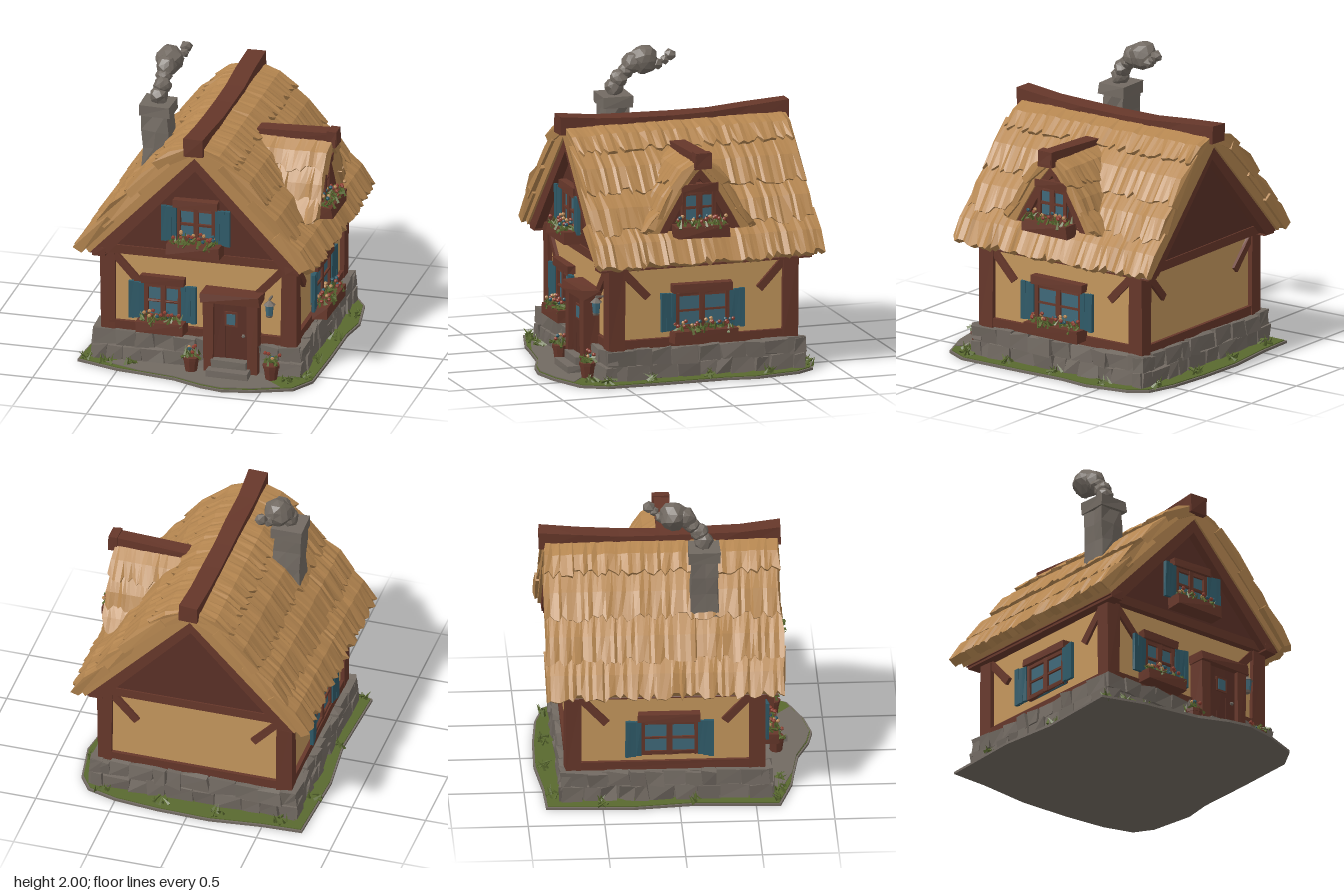
import * as THREE from 'three';

const mat = (name, color) => Object.assign(
  new THREE.MeshStandardMaterial({ color, flatShading: true, side: THREE.DoubleSide }), { name });
const M = {
  thatch: mat('thatch', 0xb58650), plaster: mat('plaster', 0xc3965c), wood: mat('timber', 0x66372a),
  plank: mat('dark planks', 0x5a3026), stone: mat('stone', 0x726a62), green: mat('foliage', 0x59692f),
  blue: mat('shutter blue', 0x2f5a68), glass: mat('glass', 0x3f6878), red: mat('red petals', 0x8f4032),
  cream: mat('orange petals', 0xb98a58),
};

let state = 7;
const rnd = () => (state = (state * 16807) % 2147483647) / 2147483647;
const range = (a, b) => a + (b - a) * rnd();

// Shift every corner a little; corners at the same place move together
function rough(geo, amt) {
  const p = geo.attributes.position, s = rnd() * 50;
  const h = (x, y, z, k) => { const v = Math.sin(x * 127.1 + y * 311.7 + z * 74.7 + s + k * 19.3) * 437.58; return (v - Math.floor(v) - 0.5) * 2 * amt; };
  for (let i = 0; i < p.count; i++) {
    const [x, y, z] = [p.getX(i), p.getY(i), p.getZ(i)].map(v => Math.round(v * 1e4) / 1e4 + 0);
    p.setXYZ(i, x + h(x, y, z, 1), y + h(x, y, z, 2), z + h(x, y, z, 3));
  }
  return geo;
}
function add(parent, name, geo, material, x = 0, y = 0, z = 0) {
  const m = new THREE.Mesh(geo, material);
  m.name = name;
  m.position.set(x, y, z);
  parent.add(m);
  return m;
}
const box = (parent, name, material, w, h, d, x, y, z, amt = 0.003) =>
  add(parent, name, rough(new THREE.BoxGeometry(w, h, d), amt), material, x, y, z);
function group(parent, name, x = 0, y = 0, z = 0, ry = 0) {
  const g = new THREE.Group();
  g.name = name;
  g.position.set(x, y, z);
  g.rotation.y = ry;
  parent.add(g);
  return g;
}
// Symmetric solid from a half outline, top to bottom; an inner half outline makes it an arch
function arch(outer, inner, z0, z1) {
  const flip = a => a.map(([x, y]) => [-x, y]);
  const pts = [...flip(outer).reverse(), ...outer, ...(inner ? [...inner].reverse().concat(flip(inner)) : [])];
  const geo = new THREE.ExtrudeGeometry(new THREE.Shape(pts.map(p => new THREE.Vector2(...p))), { depth: z1 - z0, bevelEnabled: false });
  return geo.translate(0, 0, z0);
}
// One course of straw from a to b, ragged along its lower edge
function thatchRow(parent, a, b, z0, z1, side, thick = 0.06, bulge = 0.025) {
  const n = Math.round((z1 - z0) * 36), dx = b[0] - a[0], dy = b[1] - a[1], len = Math.hypot(dx, dy);
  const ux = dx / len, uy = dy / len, nx = -uy, ny = ux;
  const pos = [], idx = [];
  for (let i = 0; i <= n; i++) {
    const end = i === 0 || i === n, z = z0 + (z1 - z0) * i / n + range(-0.009, 0.009);
    const jag = rnd() < 0.3 ? -0.02 : range(0, 0.035), lift = range(-0.006, 0.01);
    const at = (t, o) => pos.push(side * (a[0] + ux * t + nx * o), a[1] + uy * t + ny * o, z + (end ? range(-0.015, 0.015) : 0));
    at(0, 0); at(len * 0.55, bulge + lift); at(len + jag, lift); at(len + jag - 0.015, -thick); at(0, -thick);
    if (i < n) for (let k = 0; k < 5; k++) {
      const p = i * 5 + k, q = i * 5 + (k + 1) % 5;
      idx.push(...(side > 0 ? [p, p + 5, q, q, p + 5, q + 5] : [p, q, p + 5, q, q + 5, p + 5]));
    }
  }
  for (const o of [0, n * 5]) for (let k = 1; k < 4; k++) idx.push(o, o + k, o + k + 1);
  const geo = new THREE.BufferGeometry();
  geo.setAttribute('position', new THREE.Float32BufferAttribute(pos, 3));
  geo.setIndex(idx);
  geo.computeVertexNormals();
  add(parent, 'thatchCourse', geo, M.thatch);
}
// Leaves and blossoms spread over a width
const leafGeo = new THREE.ConeGeometry(0.012, 0.07, 3), budGeo = new THREE.IcosahedronGeometry(0.014, 0);
function plant(parent, w, d, leaves, buds, x, y, z) {
  const g = group(parent, 'plant', x, y, z);
  for (let i = 0; i < leaves; i++)
    add(g, 'leaf', leafGeo, M.green, range(-w, w) / 2, range(0.005, 0.025), range(-d, d) / 2).rotation.set(range(-1, 1), range(0, 3), range(-1, 1));
  for (let i = 0; i < buds; i++)
    add(g, 'blossom', budGeo, [M.red, M.cream, M.red, M.blue][i % 4], range(-w, w) / 2, range(0.03, 0.06), range(-d, d) / 2);
}
// Window facing +z, with optional shutters and flower box
function makeWindow(parent, name, x, y, z, ry, w, h, shutters, boxW) {
  const g = group(parent, name, x, y, z, ry);
  add(g, 'pane', new THREE.BoxGeometry(w, h, 0.02), M.glass, 0, 0, 0.005);
  for (const s of [-1, 0, 1]) {
    box(g, 'windowPost', M.wood, s ? 0.025 : 0.035, h, 0.035, s * (w / 2 - 0.012), 0, 0.015);
    box(g, 'windowBar', M.wood, w, s ? 0.025 : 0.014, 0.03, 0, s * (h / 2 - 0.012), 0.014);
    if (s && shutters) {
      const sh = group(g, 'shutter', s * (w / 2 + 0.052), 0, 0.035, s * -0.12);
      for (const k of [-1, 0, 1]) box(sh, 'slat', M.blue, 0.034, h + 0.01 + k * s * 0.008, 0.022, k * 0.034, 0, 0, 0.002);
    }
  }
  box(g, 'lintel', M.wood, w + (shutters ? 0.04 : 0.02), 0.055, 0.06, 0, h / 2 + 0.03, 0.02, 0.005);
  if (boxW) {
    box(g, 'flowerBox', M.wood, boxW, 0.08, 0.11, 0, -h / 2 - 0.04, 0.065, 0.006);
    plant(g, boxW - 0.04, 0.1, Math.round(boxW * 130), Math.round(boxW * 50), 0, -h / 2, 0.07);
  }
}

export function createModel() {
  const root = new THREE.Group();
  root.name = 'cottage';

  // Ground plate, grass and path
  const plate = (name, pts, k, h, y, m) => add(root, name, new THREE.ExtrudeGeometry(
    new THREE.Shape(pts.map(([x, z]) => new THREE.Vector2(x * k, -z * k))), { depth: h, bevelEnabled: false }).rotateX(-Math.PI / 2), m, 0, y, 0);
  const rim = [[-0.79, 0.66], [-0.5, 0.75], [-0.35, 0.77], [-0.1, 0.81], [0.1, 0.89], [0.25, 0.92], [0.45, 0.88], [0.7, 0.78], [0.79, 0.62], [0.8, 0.2],
    [0.8, -0.2], [0.83, -0.4], [0.78, -0.7], [0.7, -0.82], [0.5, -0.88], [0.2, -0.91], [-0.15, -0.92], [-0.5, -0.88], [-0.77, -0.87], [-0.8, -0.3], [-0.76, 0.1]];
  plate('ground', rim, 1, 0.016, 0, M.stone);
  plate('grass', rim, 0.985, 0.006, 0.016, M.green);
  plate('path', [[-0.45, 0.58], [-0.6, 0.68], [-0.35, 0.765], [-0.1, 0.805], [0.1, 0.88], [0.25, 0.91], [0.45, 0.87], [0.62, 0.8], [0.5, 0.7], [0.6, 0.58]], 0.99, 0.006, 0.021, M.stone);

  // Stone footing
  const footing = group(root, 'stoneFooting');
  add(footing, 'footingCore', new THREE.BoxGeometry(1.34, 0.2, 1.32), M.stone, 0, 0.115, -0.085);
  for (const [len, x, z, ry] of [[1.4, 0, 0.57, 0], [1.4, 0, -0.74, 0], [1.37, 0.665, -0.085, 1], [1.37, -0.665, -0.085, 1]]) {
    const side = group(footing, 'stoneRow', x, 0, z, ry * Math.PI / 2);
    for (let row = 0; row < 2; row++) for (let u = -len / 2; u < len / 2 - 0.03;) {
      let w = range(0.09, 0.2);
      if (u + w > len / 2 - 0.06) w = len / 2 - u;
      box(side, 'stone', M.stone, w * 0.98, 0.102, 0.075, u + w / 2, 0.07 + row * 0.1, range(-0.006, 0.006), 0.014);
      u += w;
    }
  }

  // Plaster walls and timber frame
  add(root, 'walls', new THREE.BoxGeometry(1.26, 0.58, 1.25), M.plaster, 0, 0.5, -0.085);
  const frame = group(root, 'timberFrame');
  for (const sx of [-1, 1]) {
    box(frame, 'sideSill', M.wood, 0.06, 0.06, 1.27, sx * 0.625, 0.25, -0.085);
    box(frame, 'eaveBeam', M.wood, 0.09, 0.06, 1.46, sx * 0.65, 0.785, -0.085);
    for (const sz of [-1, 1]) {
      const z = -0.085 + sz * 0.6;
      box(frame, 'cornerPost', M.wood, 0.1, 0.57, 0.11, sx * 0.61, 0.5, z, 0.006);
      box(frame, 'frontBrace', M.wood, 0.05, 0.28, 0.05, sx * 0.49, 0.66, -0.085 + sz * 0.622).rotation.z = sx * -0.75;
      box(frame, 'sideBrace', M.wood, 0.05, 0.28, 0.05, sx * 0.627, 0.66, z - sz * 0.12).rotation.x = sz * 0.75;
    }
  }
  for (const s of [-1, 1]) {
    box(frame, 'endSill', M.wood, 1.2, 0.06, 0.06, 0, 0.25, -0.085 + s * 0.62);
    box(frame, 'gableBeam', M.wood, 1.34, 0.06, 0.08, 0, 0.795, -0.085 + s * 0.64);
  }

  // Gables, barge boards and thatched roof
  add(root, 'gable', arch([[0, 1.48], [0.66, 0.79]], null, -0.755, 0.585), M.plank);
  add(root, 'bargeBoards', arch([[0, 1.53], [0.71, 0.77]], [[0, 1.42], [0.6, 0.77]], -0.825, 0.645), M.wood);
  const roof = group(root, 'thatchedRoof');
  add(roof, 'roofCore', arch([[0, 1.58], [0.2, 1.49], [0.4, 1.25], [0.6, 1.02], [0.76, 0.84]], [[0, 1.515], [0.71, 0.775]], -0.845, 0.66), M.thatch);
  const courses = [[[0.58, 1.06], [0.8, 0.82]], [[0.4, 1.27], [0.65, 1.01]], [[0.2, 1.5], [0.47, 1.24]], [[0.02, 1.6], [0.27, 1.47]]];
  for (const side of [-1, 1]) courses.forEach(([a, b], i) => thatchRow(roof, a, b, -0.87 + i * 0.008, 0.69 - i * 0.008, side));

  // Sagging ridge beam
  const ridge = rough(new THREE.BoxGeometry(0.125, 0.12, 1.58, 1, 1, 6), 0.005);
  for (let p = ridge.attributes.position, i = 0; i < p.count; i++) p.setY(i, p.getY(i) + 0.045 * (p.getZ(i) / 0.79) ** 2);
  add(root, 'ridgeBeam', ridge, M.wood, 0, 1.56, -0.09);

  // Dormer, built facing +z and turned to the left side
  const dormer = group(root, 'dormer', 0, 0, -0.04, Math.PI / 2);
  const face = [[0, 1.41], [0.13, 1.25], [0.22, 1.1], [0.28, 0.99]];
  add(dormer, 'dormerWall', arch(face, null, 0.3, 0.66), M.plank);
  add(dormer, 'dormerTrim', arch(face, [[0, 1.34], [0.09, 1.22], [0.17, 1.08], [0.22, 0.99]], 0.6, 0.695), M.wood);
  add(dormer, 'dormerCore', arch([[0, 1.46], [0.1, 1.4], [0.2, 1.26], [0.28, 1.11], [0.36, 1.0]], face, 0.25, 0.71), M.thatch);
  for (const side of [-1, 1]) {
    thatchRow(dormer, [0.17, 1.33], [0.29, 1.13], 0.34, 0.735, side, 0.04, 0.01);
    thatchRow(dormer, [0.27, 1.15], [0.375, 1.02], 0.5, 0.735, side, 0.04, 0.005);
    thatchRow(dormer, [0.01, 1.48], [0.2, 1.31], 0.25, 0.74, side, 0.05, 0.025);
  }
  box(dormer, 'dormerRidge', M.wood, 0.1, 0.085, 0.53, 0, 1.465, 0.515, 0.005).rotation.x = -0.05;
  box(dormer, 'dormerRidgeEnd', M.wood, 0.11, 0.11, 0.06, 0, 1.472, 0.75, 0.004);

  // Windows
  makeWindow(dormer, 'dormerWindow', 0, 1.145, 0.665, 0, 0.23, 0.21, false, 0.36);
  makeWindow(root, 'frontWindow', -0.235, 0.45, 0.55, 0, 0.25, 0.24, true, 0.32);
  makeWindow(root, 'gableWindow', 0, 1.03, 0.59, 0, 0.26, 0.23, true, 0.36);
  makeWindow(root, 'leftWindow', 0.64, 0.455, -0.07, Math.PI / 2, 0.37, 0.24, true, 0.44);
  makeWindow(root, 'rightWindow', -0.64, 0.455, -0.06, -Math.PI / 2, 0.37, 0.24, true, 0);

  // Door, frame and steps
  const door = group(root, 'door', 0.24, 0, 0.6);
  for (const k of [-1, 0, 1]) box(door, 'doorPlank', M.plank, 0.079, 0.42, 0.04, k * 0.08, 0.32, 0.012, 0.002);
  box(door, 'doorWindowFrame', M.wood, 0.085, 0.1, 0.02, 0, 0.4, 0.03);
  add(door, 'doorWindow', new THREE.BoxGeometry(0.06, 0.075, 0.01), M.glass, 0, 0.4, 0.038);
  add(door, 'doorKnob', budGeo, M.stone, 0.085, 0.29, 0.04);
  for (const s of [-1, 1]) box(door, 'doorPost', M.wood, 0.065, 0.5, 0.11, s * 0.15, 0.28, 0.01, 0.006);
  box(door, 'doorLintel', M.wood, 0.4, 0.065, 0.14, 0, 0.55, 0.01, 0.007);
  box(door, 'upperStep', M.stone, 0.24, 0.1, 0.12, 0, 0.07, 0.03, 0.006);
  box(door, 'lowerStep', M.stone, 0.28, 0.05, 0.15, 0, 0.045, 0.08, 0.006);

  // Wall lantern
  const lantern = group(root, 'lantern', 0.49, 0.48, 0.6);
  add(lantern, 'lanternGlass', new THREE.CylinderGeometry(0.03, 0.022, 0.075, 6), M.glass);
  add(lantern, 'lanternCap', new THREE.ConeGeometry(0.042, 0.035, 6), M.stone, 0, 0.052, 0);
  add(lantern, 'lanternFoot', new THREE.CylinderGeometry(0.026, 0.02, 0.015, 6), M.stone, 0, -0.044, 0);
  box(lantern, 'lanternArm', M.stone, 0.012, 0.012, 0.07, 0, 0.07, -0.03, 0);

  // Chimney and smoke
  const chimney = group(root, 'chimney', -0.375, 0, 0.18);
  add(chimney, 'chimneyShaft', rough(new THREE.BoxGeometry(0.175, 0.5, 0.175, 2, 4, 2), 0.011), M.stone, 0, 1.38, 0);
  box(chimney, 'chimneyCap', M.stone, 0.205, 0.075, 0.205, 0, 1.65, 0, 0.005);
  for (const [x, y, z, r] of [[-0.37, 1.73, 0.18, 0.06], [-0.355, 1.79, 0.15, 0.06], [-0.36, 1.84, 0.1, 0.055], [-0.35, 1.89, 0.06, 0.07],
    [-0.35, 1.905, -0.02, 0.095], [-0.31, 1.88, -0.1, 0.04], [-0.285, 1.91, -0.14, 0.033], [-0.28, 1.94, -0.175, 0.042]])
    add(root, 'smokePuff', rough(new THREE.IcosahedronGeometry(r, r > 0.05 ? 1 : 0), r * 0.1), M.stone, x, y, z);

  // Flower pots and grass tufts
  for (const x of [-0.02, 0.52]) {
    add(root, 'flowerPot', new THREE.CylinderGeometry(0.052, 0.04, 0.085, 8), M.wood, x, 0.068, 0.67);
    add(root, 'potRim', new THREE.CylinderGeometry(0.058, 0.056, 0.022, 8), M.wood, x, 0.115, 0.67);
    plant(root, 0.1, 0.08, 16, 5, x, 0.135, 0.67);
  }
  for (const [x, z] of [[-0.72, 0.64], [-0.6, 0.66], [-0.45, 0.67], [0.64, 0.68], [0.73, 0.6], [0.74, 0.3], [0.75, -0.1], [0.76, -0.5], [0.6, -0.82],
    [0.2, -0.84], [-0.2, -0.85], [-0.6, -0.82], [-0.74, -0.5], [-0.73, 0.1]])
    plant(root, 0.09, 0.05, 8, 0, x, 0.03, z);
  return root;
}
